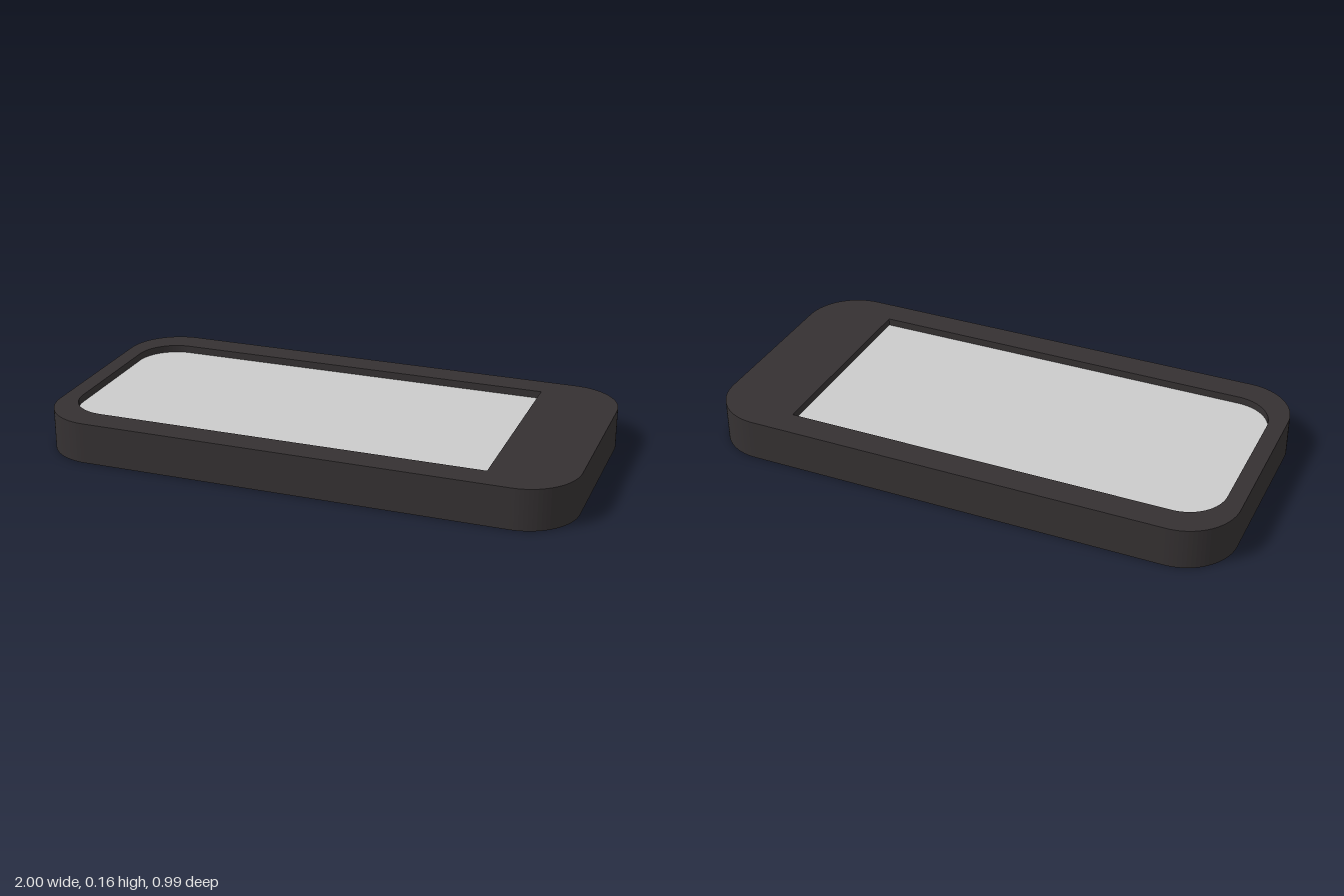
import * as THREE from 'three';

const HEIGHT = 0.155, RECESS = 0.03;

// Trace a rectangle with separate corner radii on its left (-x) and right (+x) ends
function trace(path, x0, x1, h, rl, rr) {
  path.moveTo(x0 + rl, -h);
  path.lineTo(x1 - rr, -h);
  if (rr) path.absarc(x1 - rr, -h + rr, rr, -Math.PI / 2, 0);
  path.lineTo(x1, h - rr);
  if (rr) path.absarc(x1 - rr, h - rr, rr, 0, Math.PI / 2);
  path.lineTo(x0 + rl, h);
  if (rl) path.absarc(x0 + rl, h - rl, rl, Math.PI / 2, Math.PI);
  path.lineTo(x0, -h + rl);
  if (rl) path.absarc(x0 + rl, -h + rl, rl, Math.PI, Math.PI * 1.5);
  return path;
}

const outline = () => trace(new THREE.Shape(), -1, 1, 0.497, 0.2, 0.2);
const opening = (path) => trace(path, -0.935, 0.69, 0.39, 0.15, 0);

export function createModel() {
  const group = new THREE.Group();
  const dark = new THREE.MeshStandardMaterial({ color: 0x353132 });
  const grey = new THREE.MeshStandardMaterial({ color: 0xcccccc });

  const add = (name, geometry, material, y) => {
    geometry.rotateX(-Math.PI / 2);
    const mesh = new THREE.Mesh(geometry, material);
    mesh.name = name;
    mesh.position.y = y;
    group.add(mesh);
  };

  // Casing: solid lower body with a raised frame around the screen
  const floor = HEIGHT - RECESS;
  const solid = (shape, depth) =>
    new THREE.ExtrudeGeometry(shape, { depth, bevelEnabled: false, curveSegments: 10 });
  add('body', solid(outline(), floor), dark, 0);

  const frame = outline();
  frame.holes.push(opening(new THREE.Path()));
  add('frame', solid(frame, RECESS), dark, floor);

  // Screen panel lying in the recess
  add('screen', new THREE.ShapeGeometry(opening(new THREE.Shape()), 10), grey, floor + 0.002);

  return group;
}
